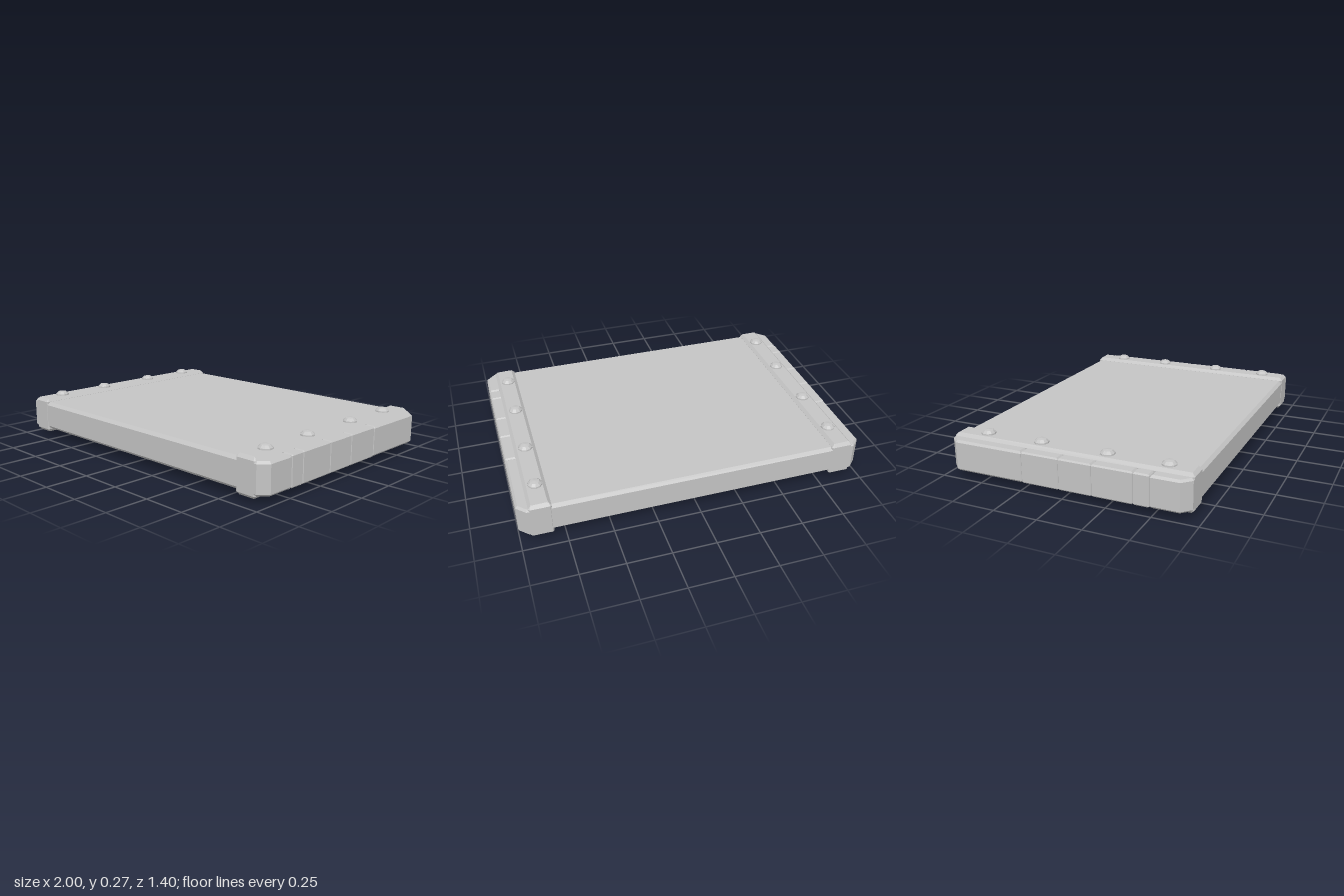
import * as THREE from 'three';

// Chamfered block: plan outline of [x, z] points, from y0 to y1, with bevelled rims
function block(outline, y0, y1, bevel) {
  const shape = new THREE.Shape(outline.map(([x, z]) => new THREE.Vector2(x, -z)));
  const geo = new THREE.ExtrudeGeometry(shape, {
    depth: y1 - y0 - 2 * bevel, bevelEnabled: true, bevelSegments: 1,
    bevelSize: bevel, bevelThickness: bevel, bevelOffset: -bevel,
  });
  geo.rotateX(-Math.PI / 2);
  geo.translate(0, y0 + bevel, 0);
  return geo;
}

// Rectangle outline with corners cut by c
function plan(x0, x1, z0, z1, c) {
  return [[x0 + c, z1], [x1 - c, z1], [x1, z1 - c], [x1, z0 + c],
    [x1 - c, z0], [x0 + c, z0], [x0, z0 + c], [x0, z1 - c]];
}

export function createModel() {
  const model = new THREE.Group();
  model.name = 'rivetedSlab';
  const grey = new THREE.MeshStandardMaterial({ color: 0xc4c4c4, flatShading: true });
  grey.name = 'plain grey';

  const add = (parent, geo, name) => {
    const mesh = new THREE.Mesh(geo, grey);
    mesh.name = name;
    parent.add(mesh);
    return mesh;
  };

  // Main board
  add(model, block(plan(-0.95, 0.95, -0.698, 0.698, 0.01), 0.05, 0.222, 0.018), 'board');

  const seams = [-0.7, -0.24, -0.02, 0.17, 0.4, 0.49, 0.7];
  const rivetZ = [-0.52, -0.185, 0.205, 0.545];
  const rivetProfile = [[0.042, -0.01], [0.04, 0.008], [0.026, 0.022], [0, 0.026]]
    .map(([r, y]) => new THREE.Vector2(r, y));

  for (const side of [-1, 1]) {
    const end = new THREE.Group();
    end.name = side > 0 ? 'leftEnd' : 'rightEnd';
    model.add(end);

    // Raised strap wrapped over top and bottom
    const strapX = [0.815, 0.94].map((x) => x * side).sort((a, b) => a - b);
    add(end, block(plan(strapX[0], strapX[1], -0.7, 0.7, 0.008), 0.026, 0.241, 0.018), 'strap');

    // Edge blocks, with the outer corners cut in plan
    for (let i = 0; i < seams.length - 1; i++) {
      const z0 = seams[i], z1 = seams[i + 1];
      const c0 = i === 0 ? 0.05 : 0.004;
      const c1 = i === seams.length - 2 ? 0.05 : 0.004;
      const outline = [[0.9, z1], [1 - c1, z1], [1, z1 - c1], [1, z0 + c0], [1 - c0, z0], [0.9, z0]]
        .map(([x, z]) => [x * side, z]);
      add(end, block(side > 0 ? outline : outline.reverse(), 0.046, 0.224, i === 0 || c1 > 0.01 ? 0.012 : 0.008), 'edgeBlock');
    }

    // Domed rivets above and below
    for (const z of rivetZ) {
      for (const up of [1, -1]) {
        const rivet = add(end, new THREE.LatheGeometry(rivetProfile, 10), up > 0 ? 'topRivet' : 'bottomRivet');
        rivet.position.set(0.873 * side, up > 0 ? 0.241 : 0.026, z);
        if (up < 0) rivet.rotation.x = Math.PI;
      }
    }
  }
  return model;
}
